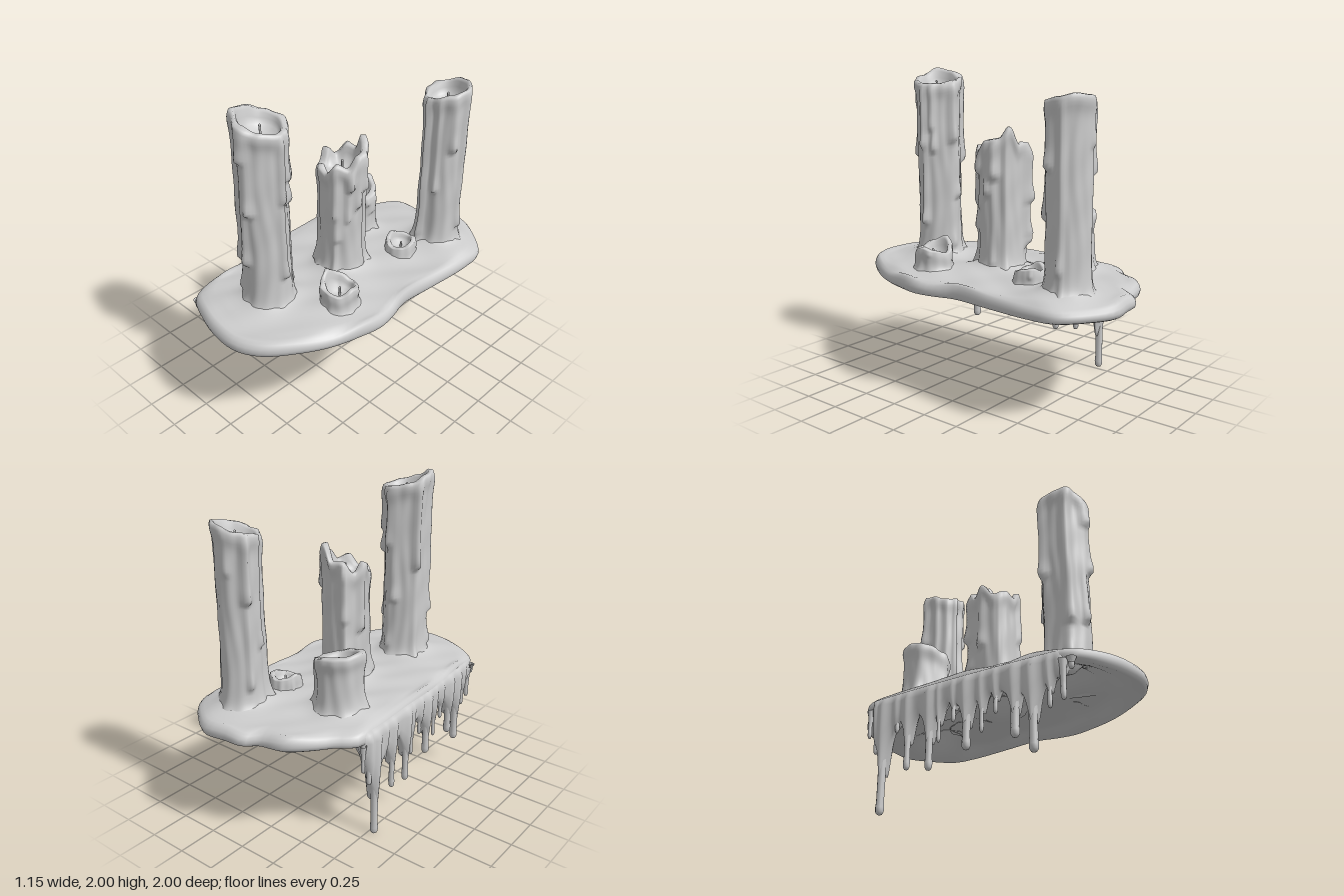
import * as THREE from 'three';

const wax = new THREE.MeshStandardMaterial({ color: 0xcccccc, side: THREE.DoubleSide });
const { sin, cos, exp, abs, min, max, PI } = Math;
const bell = (d, w) => exp(-((d / w) ** 2));
const smooth = (a, b, v) => THREE.MathUtils.smoothstep(v, a, b);
const lerp = THREE.MathUtils.lerp;

function seeded(seed) {
  let s = seed * 7919 + 17;
  return () => (s = (s * 16807) % 2147483647) / 2147483647;
}

// Smooth surface through rows of points; "closed" joins the last column to the first
function surface(rows, cols, closed, point) {
  const pos = [], index = [];
  for (let i = 0; i < rows; i++) for (let j = 0; j < cols; j++) pos.push(...point(i, j));
  for (let i = 0; i < rows - 1; i++) {
    for (let j = 0; j < (closed ? cols : cols - 1); j++) {
      const k = (j + 1) % cols;
      const a = i * cols + j, b = i * cols + k, c = a + cols, d = b + cols;
      index.push(a, c, b, b, c, d);
    }
  }
  const geo = new THREE.BufferGeometry();
  geo.setAttribute('position', new THREE.Float32BufferAttribute(pos, 3));
  geo.setIndex(index);
  geo.computeVertexNormals();
  return geo;
}

function add(parent, name, geo) {
  const mesh = new THREE.Mesh(geo, wax);
  mesh.name = name;
  parent.add(mesh);
  return mesh;
}

// Rim heights run around the candle from +x towards +z
const candles = [
  { name: 'tallFrontCandle', x: -0.045, z: 0.58, r: 0.139, cup: 0.118, streaks: 14, mound: 0.13,
    rim: [1.9, 1.92, 1.95, 2.0, 1.98, 1.94, 1.92, 1.9] },
  { name: 'tallBackCandle', x: 0.26, z: -0.67, r: 0.127, cup: 0.112, streaks: 12, mound: 0.13,
    rim: [1.85, 1.83, 1.8, 1.78, 1.81, 1.83, 1.86, 1.87] },
  { name: 'middleCandle', x: 0.01, z: 0.005, r: 0.134, cup: 0.108, streaks: 18, mound: 0.13,
    rim: [1.57, 1.5, 1.53, 1.46, 1.49, 1.46, 1.54, 1.48, 1.55, 1.54, 1.65, 1.58] },
  { name: 'shortCandle', x: -0.24, z: -0.37, r: 0.134, cup: 0.108, streaks: 5, mound: 0.1,
    rim: [1.04, 1.05, 1.08, 1.11, 1.13, 1.12, 1.11, 1.07] },
  { name: 'frontStub', x: 0.295, z: 0.32, r: 0.1, cup: 0.085, streaks: 3, mound: 0.02,
    rim: [0.9, 0.87, 0.88, 0.91, 0.94, 0.9, 0.86, 0.88] },
  { name: 'backStub', x: 0.195, z: -0.365, r: 0.08, cup: 0.066, streaks: 3, mound: 0.01,
    rim: [0.84, 0.82, 0.81, 0.83, 0.86, 0.84, 0.83, 0.85] },
];

function makeCandle(c, seed) {
  const group = new THREE.Group();
  group.name = c.name;
  const rand = seeded(seed + 3), cols = 64, base = 0.72;
  const top = c.rim.reduce((a, b) => a + b) / c.rim.length;
  const tall = top - base, body = Math.round(14 + tall * 36);
  const runs = Array.from({ length: c.streaks }, () => ({
    a: rand() * PI * 2, w: 0.09 + rand() * 0.12,
    amp: (0.08 + rand() * 0.1) * c.r, end: base + rand() * tall * 0.85,
  }));
  const rimHeight = (a) => {
    const f = a / (PI * 2) * c.rim.length, i = Math.floor(f), n = c.rim.length;
    return lerp(c.rim[i % n], c.rim[(i + 1) % n], smooth(0, 1, f - i));
  };
  // Outer radius: fluted shaft, flared foot, thick rim and wax runs ending in beads
  const outer = (y, a, rim) => {
    let r = c.r * (1 + 0.025 * sin(2 * a + y * 3 + seed) + 0.015 * sin(5 * a + seed * 2)
      + 0.018 * sin(11 * a + 2 * sin(y * 6 + seed)) + 0.012 * sin(y * 23 + 3 * a));
    const low = base - y;
    r += c.r * (0.62 + 0.1 * sin(3 * a + seed) + 0.07 * sin(7 * a)) * (0.8 * exp(low / 0.035) + 0.25 * exp(low / 0.12));
    r += 0.12 * c.r * bell(y - rim + 0.03, 0.05);
    const fade = 1 - 0.65 * smooth(rim - 0.1, rim, y);
    for (const s of runs) {
      const d = Math.atan2(sin(a - s.a), cos(a - s.a));
      r += fade * s.amp * bell(d, s.w) * smooth(s.end - 0.03, s.end, y) * (1 + 0.7 * bell(y - s.end - 0.02, 0.06));
    }
    return r;
  };
  // Fraction of the inner radius and of the cup depth, from rim to floor
  const cupRows = [[1.1, -0.1], [1.0, 0.12], [0.95, 0.4], [0.83, 0.72], [0.5, 0.95], [0, 1]];
  const depth = min(0.1, tall * 0.5), floor = top - depth;
  add(group, 'waxBody', surface(body + cupRows.length, cols, true, (i, j) => {
    const a = j / cols * PI * 2, rim = rimHeight(a);
    let y, r;
    if (i < body) {
      y = base + (rim - base) * i / (body - 1);
      r = outer(y, a, rim);
    } else {
      const [f, d] = cupRows[i - body];
      r = c.cup * f * (1 + 0.04 * sin(3 * a + seed));
      y = d < 0 ? rim + 0.004 : lerp(rim, floor, d);
    }
    return [c.x + r * cos(a), y, c.z + r * sin(a)];
  }));
  // Bent wick
  const path = new THREE.CatmullRomCurve3([[0, -0.01, 0], [0.002, 0.03, 0], [0.008, depth * 0.75, 0.006]]
    .map(([x, y, z]) => new THREE.Vector3(c.x + x, floor + y, c.z + z)));
  add(group, 'wick', new THREE.TubeGeometry(path, 6, 0.007, 6));
  add(group, 'wickTip', new THREE.SphereGeometry(0.008, 6, 5)).position.copy(path.getPoint(1));
  return group;
}

// Pooled wax: a thin shell with a rolled edge, hollow beneath
function makePool() {
  const outline = new THREE.CatmullRomCurve3([
    [0.57, 0.25], [0.54, 0.4], [0.48, 0.58], [0.38, 0.76], [0.25, 0.92], [0.1, 0.995], [-0.1, 0.99],
    [-0.25, 0.95], [-0.42, 0.87], [-0.46, 0.8], [-0.47, 0.65], [-0.5, 0.4], [-0.52, 0], [-0.54, -0.4],
    [-0.53, -0.57], [-0.43, -0.66], [-0.34, -0.77], [-0.23, -0.87], [-0.06, -0.91], [-0.01, -0.965],
    [0.12, -0.985], [0.26, -1], [0.4, -0.92], [0.54, -0.78], [0.56, -0.6], [0.54, -0.3], [0.52, -0.02],
    [0.55, 0.1]].map(([x, z]) => new THREE.Vector3(x, 0, z)), true);
  const cols = 112, edge = outline.getSpacedPoints(cols);
  const mound = (x, z, wide) => candles.reduce((h, c) => {
    const d = Math.hypot(x - c.x, z - c.z);
    return h + c.mound * bell(d, c.r * 0.9) + wide * bell(d, c.r * 1.9);
  }, 0);
  const ripple = (x, z) => 0.008 * sin(9 * x + 4 * z) * cos(7 * z - 3 * x) + 0.006 * sin(17 * z + 11 * x) * cos(15 * x);
  const n = 22;
  // Scale from the centre and height, across the rolled edge
  const roll = [[0.95, 0.657], [0.972, 0.653], [0.992, 0.664], [1, 0.688], [0.994, 0.71], [0.978, 0.73], [0.955, 0.741]];
  return surface(2 * n + roll.length, cols, true, (i, j) => {
    const e = edge[j], turn = j / cols * PI * 2;
    let s, y;
    if (i < n) {
      s = i / n * 0.94;
      y = 0.708 - 0.045 * smooth(0.75, 0.94, s);
    } else if (i < n + roll.length) {
      [s, y] = roll[i - n];
      y += (y - 0.65) * 0.14 * sin(7 * turn + 2 * sin(3 * turn));
    } else {
      s = (2 * n + roll.length - 1 - i) / n * 0.96;
      y = 0.743;
    }
    const x = 0.02 + (e.x - 0.02) * s, z = e.z * s;
    const inner = 1 - smooth(0.85, 0.97, s);
    y += inner * (mound(x, z, i < n ? 0.012 : 0.022) + ripple(x, z));
    return [x, y, z];
  });
}

// Drips down the overhanging side: z, tip height, tip radius
const drips = [
  [0.84, 0.59, 0.018], [0.79, 0.43, 0.017], [0.71, 0.4, 0.014], [0.61, 0.18, 0.027], [0.5, 0.28, 0.026],
  [0.38, 0.44, 0.014], [0.29, 0.35, 0.013], [0.19, 0.27, 0.025], [0.1, 0.45, 0.014], [0.0, 0.35, 0.012],
  [-0.065, 0.2, 0.023], [-0.225, 0.23, 0.02], [-0.31, 0.47, 0.014], [-0.41, 0, 0.026], [-0.47, 0.37, 0.016],
  [-0.53, 0.48, 0.013]];
const sideEdge = (z) => -0.52 + 0.06 * z + 0.03 * z * z;

// Wax sheet hanging from the edge, pulled to a point at each drip
function makeCurtain() {
  const cols = 200, z0 = -0.58, z1 = 0.88;
  return surface(12, cols, false, (i, j) => {
    const z = z0 + (z1 - z0) * j / (cols - 1);
    const fade = smooth(z0, z0 + 0.1, z) * (1 - smooth(z1 - 0.13, z1, z));
    let pull = 0, b = 0;
    for (const [dz, tip, r] of drips) {
      const drop = 0.6 - tip;
      pull = max(pull, drop * 0.66 * exp(-abs(z - dz) / (0.015 + r * 0.6 + drop * 0.07)));
      b = max(b, r * bell(z - dz, r * 1.5));
    }
    const wave = 0.03 * sin(z * 11) + 0.02 * sin(z * 27 + 1);
    const yb = lerp(0.67, 0.61 - pull, fade), mid = (yb + 0.65) / 2;
    const [dx, y] = [
      [0.1, 0.735], [0.03, 0.735], [-0.01, 0.71], [-0.012 - b, 0.66], [-0.008 - b, mid],
      [-b * 0.8, yb + 0.012], [0.012, yb], [0.03 + b, yb + 0.015], [0.055 + b, mid],
      [0.1 + wave * 0.5, 0.625], [0.16 + wave, 0.66], [0.24 + wave, 0.73]][i];
    return [sideEdge(z) + lerp(0.06, dx, fade), lerp(0.7, y, fade), z];
  });
}

function makeDrip([, tip, r]) {
  const h = 0.66 - tip;
  const profile = [[0, 0], [0.6, 0.006], [0.92, 0.02], [0.98, 0.045], [0.86, 0.08], [0.9, h * 0.45], [1.1, h * 0.7], [1.6, h]];
  return new THREE.LatheGeometry(profile.map(([f, y]) => new THREE.Vector2(f * r, min(y, h))), 10);
}

export function createModel() {
  const model = new THREE.Group();
  model.name = 'meltedCandles';
  add(model, 'waxPool', makePool());
  add(model, 'waxCurtain', makeCurtain());
  candles.forEach((c, i) => model.add(makeCandle(c, i + 1)));
  for (const d of drips) {
    add(model, 'drip', makeDrip(d)).position.set(sideEdge(d[0]) + 0.005, d[1], d[0]);
  }
  return model;
}
